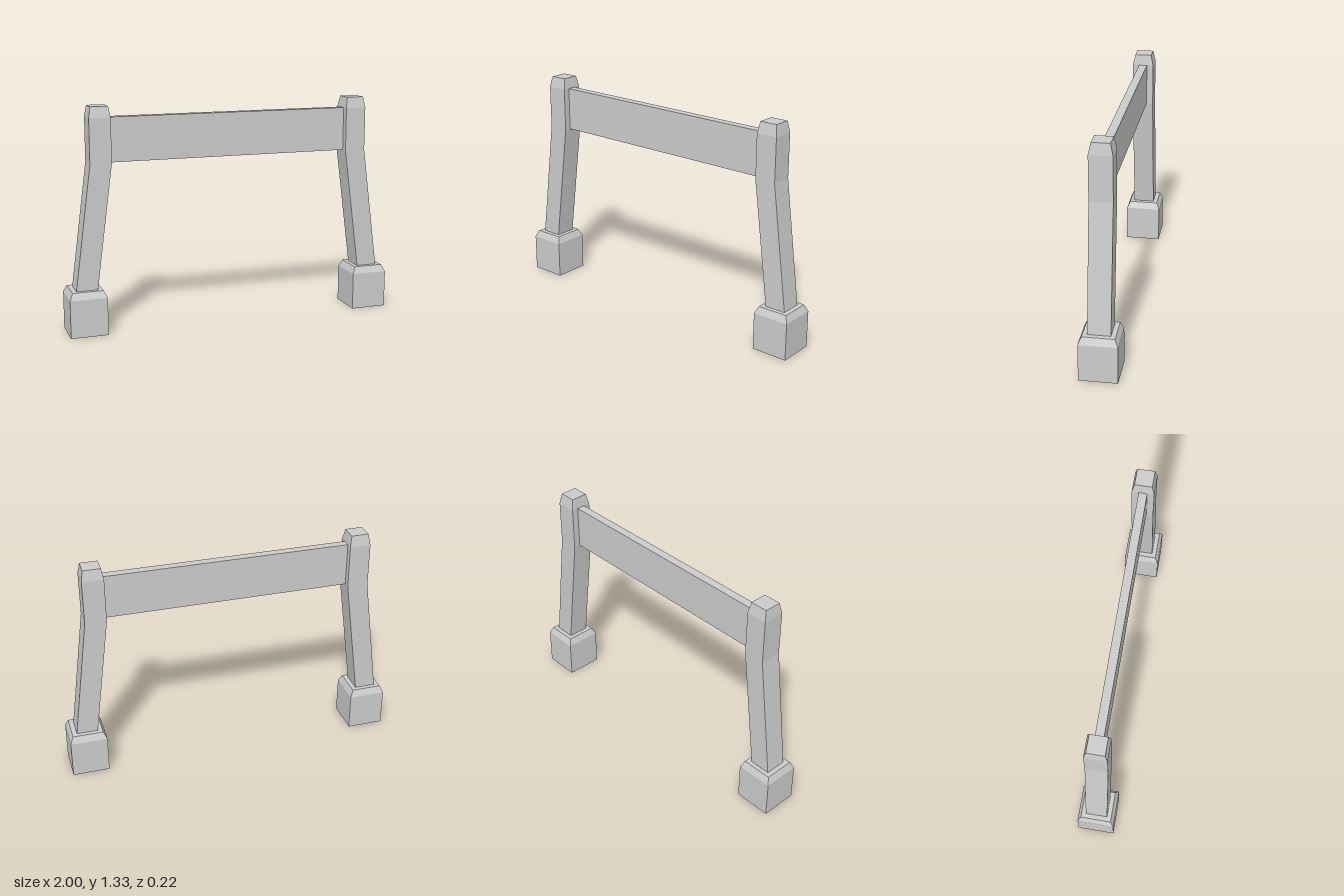
import * as THREE from 'three';

const material = new THREE.MeshStandardMaterial({ color: 0xcccccc, flatShading: true });

// Stack of rectangular sections [y, centreX, halfX, halfZ], bottom to top, capped at both ends
function loft(sections) {
  const positions = [];
  const rings = sections.map(([y, cx, hx, hz]) => [
    [cx - hx, y, hz], [cx + hx, y, hz], [cx + hx, y, -hz], [cx - hx, y, -hz],
  ]);
  const quad = (a, b, c, d) => positions.push(...a, ...b, ...c, ...a, ...c, ...d);
  for (let i = 0; i < rings.length - 1; i++) {
    for (let k = 0; k < 4; k++) {
      const n = (k + 1) % 4;
      quad(rings[i][k], rings[i][n], rings[i + 1][n], rings[i + 1][k]);
    }
  }
  const [a, b, c, d] = rings[0];
  quad(d, c, b, a);
  quad(...rings[rings.length - 1]);
  const geometry = new THREE.BufferGeometry();
  geometry.setAttribute('position', new THREE.Float32BufferAttribute(positions, 3));
  geometry.computeVertexNormals();
  return geometry;
}

function addMesh(parent, name, geometry) {
  const mesh = new THREE.Mesh(geometry, material);
  mesh.name = name;
  parent.add(mesh);
  return mesh;
}

export function createModel() {
  const model = new THREE.Group();
  model.name = 'barrier';

  for (const [side, s] of [['left', 1], ['right', -1]]) {
    // Chamfered foot block
    addMesh(model, `${side}Foot`, loft([
      [0, s * 0.89, 0.11, 0.11],
      [0.224, s * 0.89, 0.11, 0.11],
      [0.265, s * 0.89, 0.091, 0.091],
    ]));
    // Post leaning inwards, then upright with a chamfered top
    addMesh(model, `${side}Post`, loft([
      [0.265, s * 0.89, 0.063, 0.065],
      [1.0, s * 0.791, 0.063, 0.065],
      [1.26, s * 0.791, 0.063, 0.065],
      [1.325, s * 0.791, 0.052, 0.051],
    ]));
  }

  // Flat crossbar between the posts
  const bar = addMesh(model, 'crossbar', new THREE.BoxGeometry(1.46, 0.26, 0.05));
  bar.position.y = 1.13;

  return model;
}
